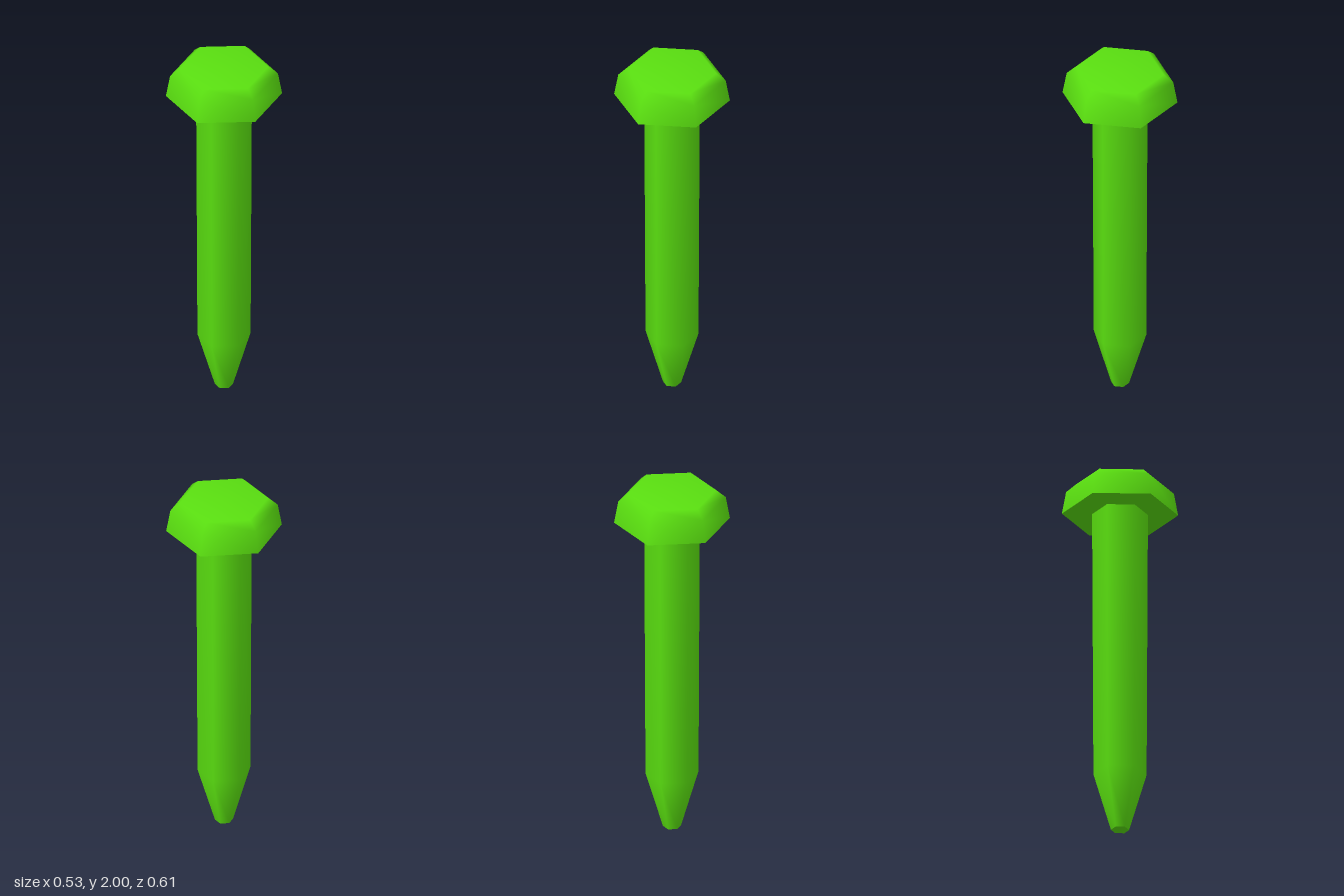
import * as THREE from 'three';

const SIDES = 6;

export function createModel() {
  const nail = new THREE.Group();
  nail.name = 'nail';
  const material = new THREE.MeshStandardMaterial({ color: 0x5ae010 });

  // Six-sided turned surface from [radius, height] pairs, corners on the z axis
  function turned(name, profile) {
    const points = profile.map(([r, y]) => new THREE.Vector2(r, y));
    const mesh = new THREE.Mesh(new THREE.LatheGeometry(points, SIDES), material);
    mesh.name = name;
    return mesh;
  }

  // Head: flared sides and bevelled crown, with a sharp flat underside
  const head = new THREE.Group();
  head.name = 'head';
  head.add(
    turned('headCrown', [[0.306, 1.83], [0.284, 1.955], [0.233, 2], [0, 2]]),
    turned('headUnderside', [[0, 1.83], [0.306, 1.83]])
  );

  // Shaft: slightly tapered rod narrowing to a blunt point
  const shaft = new THREE.Group();
  shaft.name = 'shaft';
  shaft.add(
    turned('shaftRod', [[0.048, 0], [0.14, 0.32], [0.147, 1.83]]),
    turned('shaftTip', [[0, 0], [0.048, 0]])
  );

  nail.add(head, shaft);
  return nail;
}
